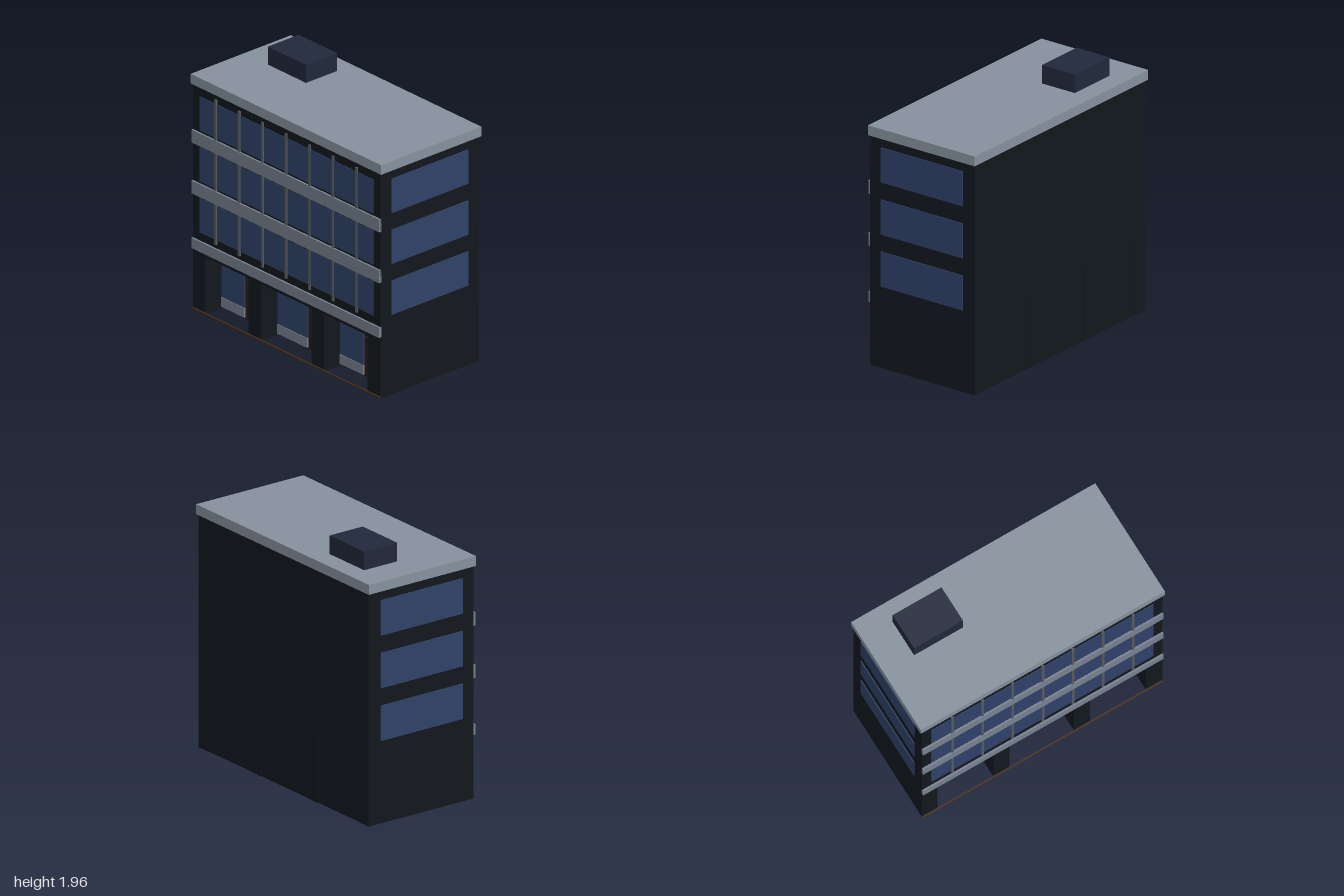
import * as THREE from 'three';

const mat = (color) => new THREE.MeshStandardMaterial({ color });

export function createModel() {
  const model = new THREE.Group();
  model.name = 'officeBuilding';

  const wall = mat(0x12171d), slate = mat(0x85919d), band = mat(0x75808e);
  const glass = mat(0x2f4168), door = mat(0x301c15), awning = mat(0xc8591c);
  const metal = mat(0x58595c), plant = mat(0x20283a), plinth = mat(0x3a2a22);

  // Box given by its limits on each axis
  const box = (name, material, [x0, x1], [y0, y1], [z0, z1], parent = model) => {
    const mesh = new THREE.Mesh(new THREE.BoxGeometry(x1 - x0, y1 - y0, z1 - z0), material);
    mesh.position.set((x0 + x1) / 2, (y0 + y1) / 2, (z0 + z1) / 2);
    mesh.name = name;
    parent.add(mesh);
    return mesh;
  };

  const W = 0.985, FRONT = 0.46, BACK = -0.465, RECESS = 0.31;
  const bays = [
    { x: [-0.86, -0.4], glass: [-0.855, -0.61], door: [-0.585, -0.425], awning: [-0.81, -0.445] },
    { x: [-0.27, 0.26], glass: [-0.265, 0.05], door: [0.075, 0.235], awning: [-0.22, 0.215] },
    { x: [0.39, 0.85], glass: [0.392, 0.64], door: [0.66, 0.825], awning: [0.435, 0.805] },
  ];

  // Main block with an opening for each shop bay
  const outline = new THREE.Shape();
  outline.moveTo(-W, 0);
  for (const { x: [a, b] } of bays) {
    outline.lineTo(a, 0).lineTo(a, 0.54).lineTo(b, 0.54).lineTo(b, 0);
  }
  outline.lineTo(W, 0).lineTo(W, 1.75).lineTo(-W, 1.75).closePath();
  const body = new THREE.Mesh(
    new THREE.ExtrudeGeometry(outline, { depth: FRONT - BACK, bevelEnabled: false }), wall);
  body.position.z = BACK;
  body.name = 'mainBlock';
  model.add(body);

  // Recessed shopfronts
  for (const bay of bays) {
    const shop = new THREE.Group();
    shop.name = 'shopfront';
    model.add(shop);
    box('shopInterior', wall, bay.x, [0, 0.54], [BACK + 0.005, RECESS - 0.01], shop);
    box('shopLintel', wall, bay.x, [0.44, 0.54], [RECESS - 0.02, FRONT - 0.005], shop);
    box('shopWindow', glass, bay.glass, [0.09, 0.415], [RECESS - 0.02, RECESS], shop);
    box('windowBase', band, bay.glass, [0.015, 0.09], [RECESS - 0.02, RECESS + 0.005], shop);
    box('shopDoor', door, bay.door, [0.015, 0.32], [RECESS - 0.02, RECESS + 0.01], shop);
    box('awning', awning, bay.awning, [0.412, 0.438], [RECESS - 0.01, 0.4], shop);
  }
  box('pavementStrip', plinth, [-W, W], [0, 0.015], [FRONT, 0.475]);

  // Ribbon windows on the front and both sides
  for (const y of [[0.62, 0.885], [1.015, 1.28], [1.41, 1.675]]) {
    box('frontWindow', glass, [-0.91, 0.91], y, [FRONT - 0.01, FRONT + 0.004]);
    box('leftWindow', glass, [W - 0.01, W + 0.007], y, [-0.36, 0.36]);
    box('rightWindow', glass, [-W - 0.007, -W + 0.01], y, [-0.36, 0.36]);
  }

  // Vertical mullions and horizontal floor bands
  for (let i = -3; i <= 3; i++) {
    const x = i * 0.2465;
    box('mullion', metal, [x - 0.01, x + 0.01], [0.585, 1.71], [FRONT - 0.01, 0.471]);
  }
  for (const y of [[0.475, 0.555], [0.9, 1.0], [1.295, 1.395]]) {
    box('floorBand', band, [-W, W], y, [FRONT - 0.01, 0.475]);
  }

  // Roof slab and plant room
  box('roofSlab', slate, [-1, 1], [1.745, 1.82], [-0.475, 0.468]);
  box('plantRoom', plant, [-0.75, -0.35], [1.82, 1.96], [-0.325, -0.035]);

  return model;
}
